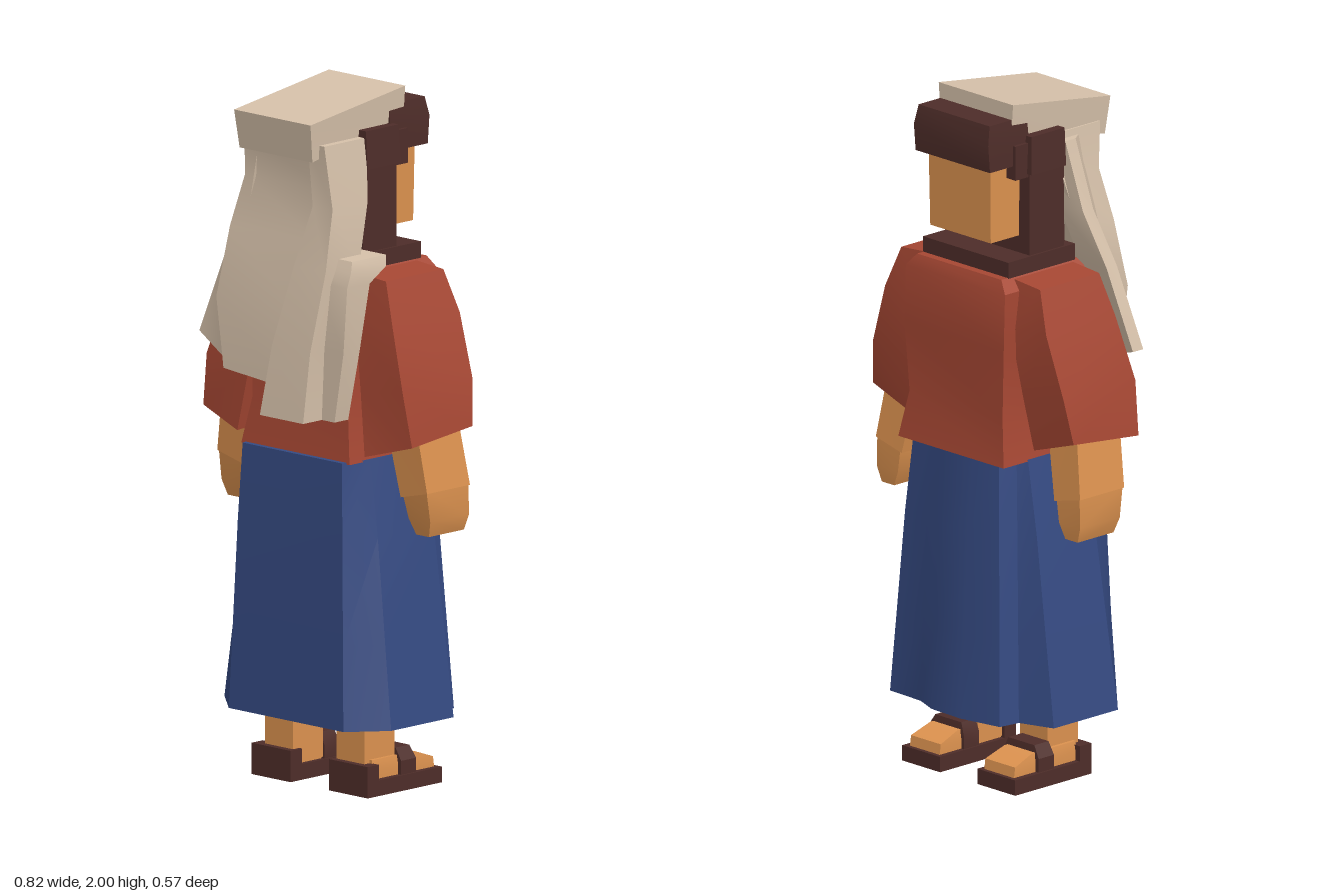
import * as THREE from 'three';
import { toCreasedNormals } from 'three/addons/utils/BufferGeometryUtils.js';

const mat = (name, color) => Object.assign(new THREE.MeshStandardMaterial({ color }), { name });

// Closed solid through a stack of rings with equal point counts, always facing outward
function loft(rings) {
  const pos = [], tris = [], n = rings[0].length, last = rings.length - 1;
  const tri = (a, b, c) => tris.push([a, b, c]);
  const mid = r => [0, 1, 2].map(k => r.reduce((s, p) => s + p[k], 0) / n);
  for (let i = 0; i < n; i++) {
    const j = (i + 1) % n;
    for (let r = 0; r < last; r++) {
      const [a, b, c, d] = [rings[r][i], rings[r][j], rings[r + 1][j], rings[r + 1][i]];
      tri(a, b, c);
      tri(a, c, d);
    }
    tri(mid(rings[0]), rings[0][j], rings[0][i]);
    tri(mid(rings[last]), rings[last][i], rings[last][j]);
  }
  const v = tris.map(t => t.map(p => new THREE.Vector3(...p)));
  const volume = v.reduce((s, [a, b, c]) => s + a.dot(b.clone().cross(c)), 0);
  for (const [a, b, c] of tris) pos.push(...a, ...(volume > 0 ? b : c), ...(volume > 0 ? c : b));
  const g = new THREE.BufferGeometry();
  g.setAttribute('position', new THREE.Float32BufferAttribute(pos, 3));
  return toCreasedNormals(g, 0.45);
}

// Four-cornered ring; y0 is the height at x0 and y1 the height at x1
const rect = (x0, x1, z0, z1, y0, y1 = y0) => [[x0, y0, z0], [x1, y1, z0], [x1, y1, z1], [x0, y0, z1]];
// Four-cornered ring that tilts along z
const tilt = (w, z0, y0, z1, y1) => [[-w, y0, z0], [w, y0, z0], [w, y1, z1], [-w, y1, z1]];

export function createModel() {
  const model = new THREE.Group();
  const skin = mat('skin', 0xdc924f), veil = mat('veil cream', 0xd6c1aa), red = mat('tunic red', 0xa64733);
  const blue = mat('skirt blue', 0x354a82), hair = mat('dark brown', 0x4e2d29);

  const add = (name, material, ...rings) => {
    const mesh = new THREE.Mesh(loft(rings), material);
    mesh.name = name;
    model.add(mesh);
  };
  const box = (name, material, x0, x1, y0, y1, z0, z1) =>
    add(name, material, rect(x0, x1, z0, z1, y0), rect(x0, x1, z0, z1, y1));

  // Flared skirt: a centre panel front and back, stepped side panels
  const hem = [[-0.21, 0.19], [0.24, 0.19], [0.325, 0.085], [0.325, -0.165], [0.255, -0.19],
    [0.243, -0.25], [0.115, -0.255], [0.04, -0.285], [-0.08, -0.29], [-0.215, -0.265],
    [-0.225, -0.2], [-0.33, -0.165], [-0.33, 0.085]];
  const waist = [[-0.19, 0.155], [0.2, 0.155], [0.22, 0.06], [0.22, -0.15], [0.19, -0.17],
    [0.175, -0.225], [0.1, -0.23], [0.04, -0.24], [-0.08, -0.24], [-0.17, -0.225],
    [-0.185, -0.17], [-0.21, -0.15], [-0.21, 0.06]];
  const skirtRing = (t, y) => hem.map(([x, z], i) =>
    [x + (waist[i][0] - x) * t, y, z + (waist[i][1] - z) * t]);
  add('skirt', blue, skirtRing(0, 0.21), skirtRing(0.29, 0.45), skirtRing(0.65, 0.75), skirtRing(1, 0.97));

  // Tunic body
  add('tunic', red,
    rect(-0.21, 0.215, -0.245, 0.14, 0.965), rect(-0.185, 0.19, -0.225, 0.12, 1.1),
    rect(-0.2, 0.2, -0.235, 0.11, 1.3), rect(-0.2, 0.2, -0.23, 0.1, 1.47),
    rect(-0.17, 0.17, -0.215, 0.08, 1.505));
  box('collar', hair, -0.172, 0.172, 1.5, 1.55, -0.19, 0.07);

  for (const s of [-1, 1]) {
    const side = s < 0 ? 'right' : 'left';
    const ring = (x0, x1, z0, z1, y0, y1) => rect(s * x0, s * x1, z0, z1, y0, y1);

    // Wide sleeve with a slanted cuff
    add(side + 'Sleeve', red,
      [[s * 0.25, 1.01, -0.165], [s * 0.405, 1.06, -0.16], [s * 0.41, 1.035, 0.088], [s * 0.25, 0.99, 0.115]],
      ring(0.22, 0.385, -0.18, 0.1, 1.17, 1.19),
      ring(0.18, 0.325, -0.19, 0.08, 1.36, 1.37), ring(0.16, 0.28, -0.17, 0.06, 1.5, 1.49));

    // Forearm and bent hand
    add(side + 'Forearm', skin,
      ring(0.308, 0.412, -0.142, 0.03, 0.87, 0.895), ring(0.265, 0.38, -0.125, 0.042, 1.07, 1.09));
    add(side + 'Hand', skin,
      ring(0.345, 0.395, -0.135, 0.005, 0.765), ring(0.325, 0.41, -0.14, 0.015, 0.81),
      ring(0.315, 0.408, -0.14, 0.028, 0.88, 0.9));

    // Leg, foot and sandal
    const leg = (name, m, x0, x1, y0, y1, z0, z1) => box(side + name, m, s * x0, s * x1, y0, y1, z0, z1);
    leg('Leg', skin, 0.085, 0.195, 0.05, 0.3, -0.06, 0.06);
    leg('Sole', hair, 0.075, 0.228, 0, 0.045, -0.217, 0.08);
    leg('Heel', hair, 0.075, 0.228, 0.04, 0.09, 0.035, 0.08);
    add(side + 'Foot', skin,
      ring(0.09, 0.21, -0.205, 0.04, 0.04), ring(0.09, 0.21, -0.2, 0.04, 0.075),
      ring(0.095, 0.205, -0.13, 0.04, 0.1));
    add(side + 'Strap', hair,
      ring(0.08, 0.222, -0.12, -0.06, 0.04), ring(0.08, 0.222, -0.12, -0.06, 0.085),
      ring(0.095, 0.2, -0.115, -0.06, 0.12));

    // Stepped hair beside the face
    leg('HairLock', hair, 0.1, 0.165, 1.53, 1.8, -0.1, 0.035);
    add(side + 'HairSide', hair,
      ring(0.1, 0.178, -0.105, 0.03, 1.79), ring(0.1, 0.172, -0.1, 0.03, 1.9));
    leg('HairTemple', hair, 0.1, 0.16, 1.78, 1.88, -0.15, -0.02);
  }

  // Head
  add('face', skin, rect(-0.122, 0.122, -0.21, -0.02, 1.6), rect(-0.125, 0.125, -0.214, -0.02, 1.85));
  box('hairBack', hair, -0.14, 0.14, 1.53, 1.88, -0.1, 0.06);
  add('fringe', hair,
    rect(-0.15, 0.15, -0.24, -0.09, 1.82), rect(-0.15, 0.15, -0.247, -0.09, 1.9),
    rect(-0.143, 0.143, -0.235, -0.09, 1.955));

  // Tilted flat top of the veil
  add('veilTop', veil, tilt(0.143, -0.15, 1.915, 0.215, 1.835), tilt(0.15, -0.15, 2.0, 0.23, 1.945));

  // Hanging veil folds
  add('veilCentre', veil,
    rect(-0.18, 0.06, 0.15, 0.242, 1.2, 1.18), rect(-0.215, 0.1, 0.12, 0.235, 1.4),
    rect(-0.2, 0.15, 0.06, 0.195, 1.6), rect(-0.165, 0.165, 0.03, 0.17, 1.75), rect(-0.15, 0.15, 0.02, 0.19, 1.88));
  add('veilLeftFold', veil,
    rect(0.005, 0.175, 0.155, 0.285, 1.1), rect(0.03, 0.18, 0.14, 0.262, 1.3),
    rect(0.08, 0.205, 0.09, 0.225, 1.53), rect(0.11, 0.188, 0.04, 0.18, 1.7), rect(0.1, 0.165, 0.02, 0.19, 1.88));
  add('veilShoulderFold', veil,
    rect(0.12, 0.225, 0.155, 0.21, 1.1), rect(0.14, 0.255, 0.14, 0.205, 1.3),
    rect(0.15, 0.265, 0.11, 0.2, 1.49), rect(0.15, 0.265, 0.045, 0.185, 1.53),
    rect(0.13, 0.255, 0.035, 0.17, 1.56));
  // Flared fold whose outer edge swings forward
  const flare = (xo, xi, zo, y0, y1, zi0, zi1) =>
    [[xo, y0, zo - 0.03], [xi, y1, zi0], [xi, y1, zi1], [xo, y0, zo + 0.01]];
  add('veilRightFold', veil,
    flare(-0.365, -0.215, 0.14, 1.265, 1.22, 0.14, 0.205), flare(-0.29, -0.17, 0.11, 1.5, 1.5, 0.09, 0.2),
    flare(-0.225, -0.14, 0.08, 1.66, 1.66, 0.04, 0.18), flare(-0.175, -0.1, 0.06, 1.86, 1.86, 0.02, 0.18));

  return model;
}
